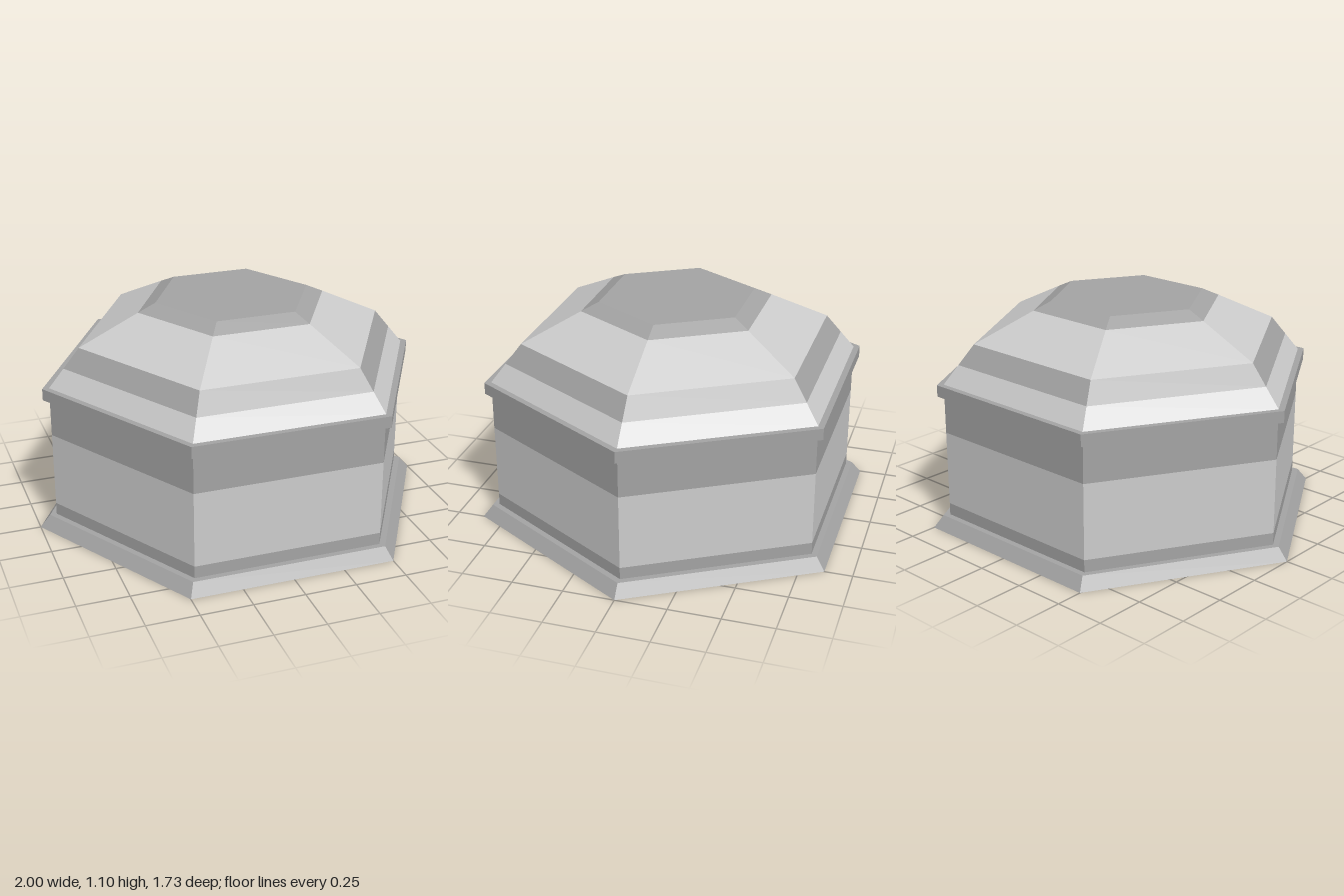
import * as THREE from 'three';

// Hexagonal shell from a bottom-to-top profile of [corner radius, height]
function hexShell(name, material, profile) {
  const points = profile.map(([r, y]) => new THREE.Vector2(r, y));
  const mesh = new THREE.Mesh(new THREE.LatheGeometry(points, 6, Math.PI / 6), material);
  mesh.name = name;
  return mesh;
}

export function createModel() {
  const light = new THREE.MeshStandardMaterial({ color: 0xcccccc, flatShading: true });
  const dark = new THREE.MeshStandardMaterial({ color: 0xa3a3a3, flatShading: true });
  const model = new THREE.Group();
  model.name = 'hexagonalBuilding';

  model.add(
    // Sloped plinth with closed underside and a narrow ledge
    hexShell('plinth', dark, [[0, 0], [1, 0], [0.95, 0.06], [0.917, 0.06]]),
    // Walls in three tonal bands
    hexShell('wallFoot', dark, [[0.917, 0.06], [0.917, 0.12]]),
    hexShell('wall', light, [[0.917, 0.12], [0.917, 0.49]]),
    hexShell('wallTop', dark, [[0.917, 0.49], [0.917, 0.678]]),
    // Projecting cornice
    hexShell('cornice', dark, [[0.917, 0.678], [0.95, 0.678], [0.95, 0.735], [0.917, 0.735]]),
    // Roof: steep lower slope, shallow upper slope, flat crown
    hexShell('roofSkirt', light, [[0.917, 0.735], [0.843, 0.825]]),
    hexShell('roofBand', dark, [[0.843, 0.825], [0.765, 0.92]]),
    hexShell('roofSlope', light, [[0.765, 0.92], [0.472, 1.06]]),
    hexShell('roofCrown', dark, [[0.472, 1.06], [0.385, 1.1], [0, 1.1]])
  );
  return model;
}
